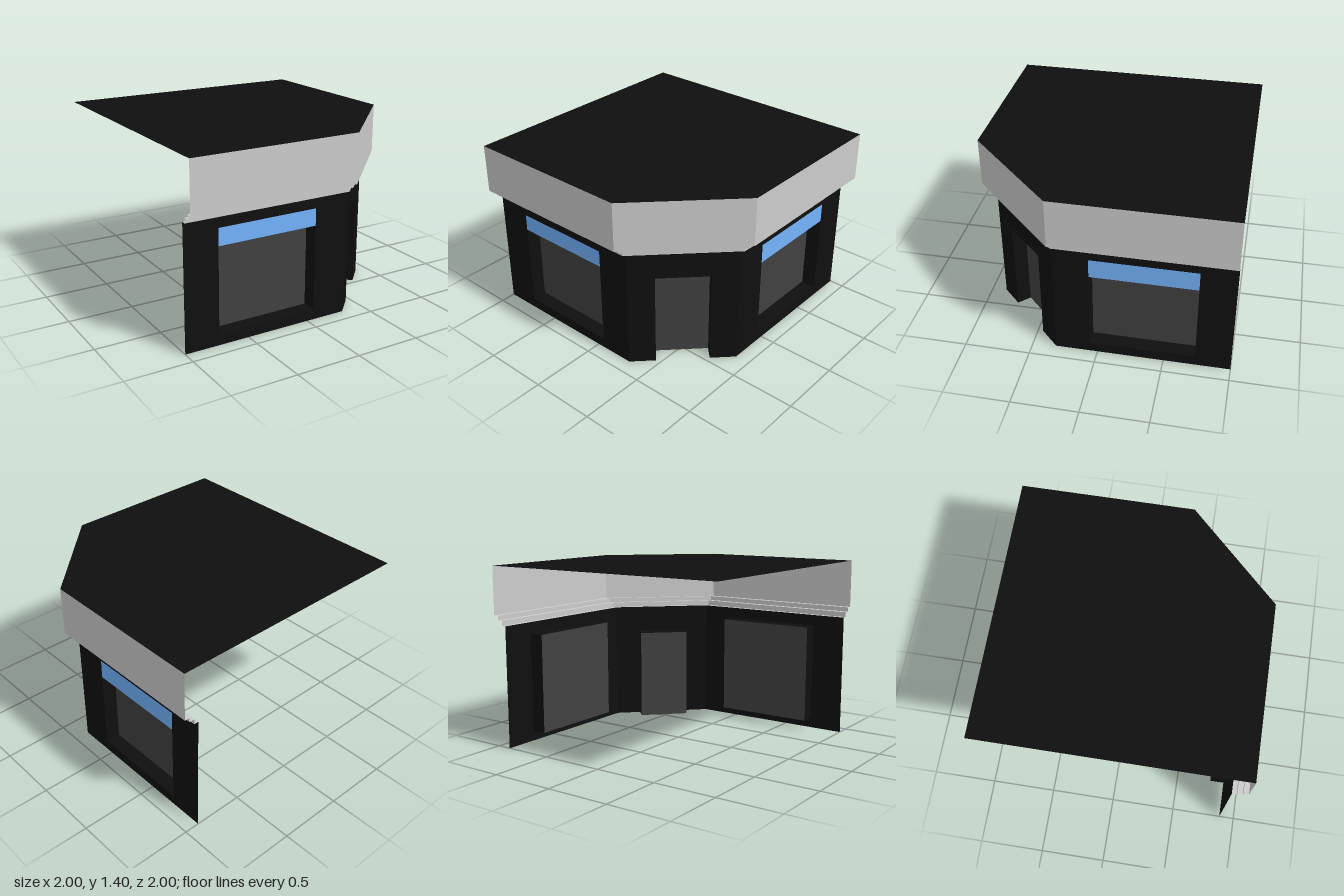
import * as THREE from 'three';

const paint = (color) => new THREE.MeshStandardMaterial({ color, flatShading: true, side: THREE.DoubleSide });
const DEPTH = 0.115;       // how far panes and door sit behind the wall
const WALL = 0.885;        // wall plane
const WALL_TOP = 0.95;
const CUT = 0.32;          // where the cut-off corner begins

function add(parent, name, geometry, material) {
  const mesh = new THREE.Mesh(geometry, material);
  mesh.name = name;
  parent.add(mesh);
  return mesh;
}

// Strips of quads joining each row of points to the next
function ribbon(rows) {
  const pos = [];
  for (let r = 0; r + 1 < rows.length; r++) {
    const a = rows[r], b = rows[r + 1];
    for (let i = 0; i + 1 < a.length; i++) {
      for (const p of [a[i], a[i + 1], b[i + 1], a[i], b[i + 1], b[i]]) pos.push(...p);
    }
  }
  const g = new THREE.BufferGeometry();
  g.setAttribute('position', new THREE.Float32BufferAttribute(pos, 3));
  g.computeVertexNormals();
  return g;
}

const polygon = (pts) => pts.map(([x, y]) => new THREE.Vector2(x, y));

function rectangle(l, r, b, t, z) {
  return new THREE.PlaneGeometry(r - l, t - b).translate((l + r) / 2, (b + t) / 2, z);
}

// One wall with a recessed opening; local x runs along the wall, z points outward
function wallPanel(name, width, [l, r, b, t], mats, paneName) {
  const group = new THREE.Group();
  group.name = name;
  const isDoor = b === 0;
  const rim = [[r, b], [r, t], [l, t], [l, b]];
  const notch = isDoor ? [[l, 0], [l, t], [r, t], [r, 0]] : [];
  const shape = new THREE.Shape(polygon([[0, 0], ...notch, [width, 0], [width, WALL_TOP], [0, WALL_TOP]]));
  if (!isDoor) {
    shape.holes.push(new THREE.Path(polygon(rim)));
    rim.push(rim[0]);
  }
  add(group, 'wall', new THREE.ShapeGeometry(shape), mats.wall);
  add(group, 'reveal', ribbon([0, -DEPTH].map((z) => rim.map(([x, y]) => [x, y, z]))), mats.wall);
  add(group, paneName, rectangle(l, r, b, t, -DEPTH), mats.pane);
  return group;
}

export function createModel() {
  const model = new THREE.Group();
  model.name = 'cornerShop';
  const mats = { wall: paint(0x0f0f0f), pane: paint(0x404040) };
  const trim = paint(0xcccccc);
  const blue = paint(0x74b3fc);

  // Two shop-window walls, each with a flat blue fascia over the glass
  const windowOpening = [0.265, 1.055, 0.08, 0.86];
  const front = wallPanel('frontWall', 1 + CUT, windowOpening, mats, 'windowPane');
  front.position.set(-1, 0, WALL);
  add(front, 'awning', rectangle(0.265, 1.055, 0.73, 0.86, 0), blue);

  const side = wallPanel('sideWall', 1 + CUT, windowOpening, mats, 'windowPane');
  side.position.set(WALL, 0, CUT);
  side.rotation.y = Math.PI / 2;
  add(side, 'awning', rectangle(0.265, 1.055, 0.71, 0.86, 0), blue);

  // Diagonal corner wall with the entrance
  const corner = wallPanel('cornerWall', (WALL - CUT) * Math.SQRT2, [0.198, 0.601, 0, 0.735], mats, 'door');
  corner.position.set(CUT, 0, WALL);
  corner.rotation.y = Math.PI / 4;
  model.add(front, side, corner);

  // Stepped cornice and parapet following the three walls
  const profile = [[WALL, 0.95], [0.92, 0.95], [0.92, 0.99], [0.96, 0.99], [0.96, 1.025], [1, 1.025], [1, 1.4]];
  const rows = profile.map(([d, y]) => [[-1, y, d], [CUT, y, d], [d, y, CUT], [d, y, -1]]);
  add(model, 'cornice', ribbon(rows), trim);

  // Flat roof
  const roof = new THREE.Shape(polygon([[-1, -1], [CUT, -1], [1, -CUT], [1, 1], [-1, 1]]));
  add(model, 'roof', new THREE.ShapeGeometry(roof).rotateX(-Math.PI / 2).translate(0, 1.4, 0), mats.wall);

  return model;
}
